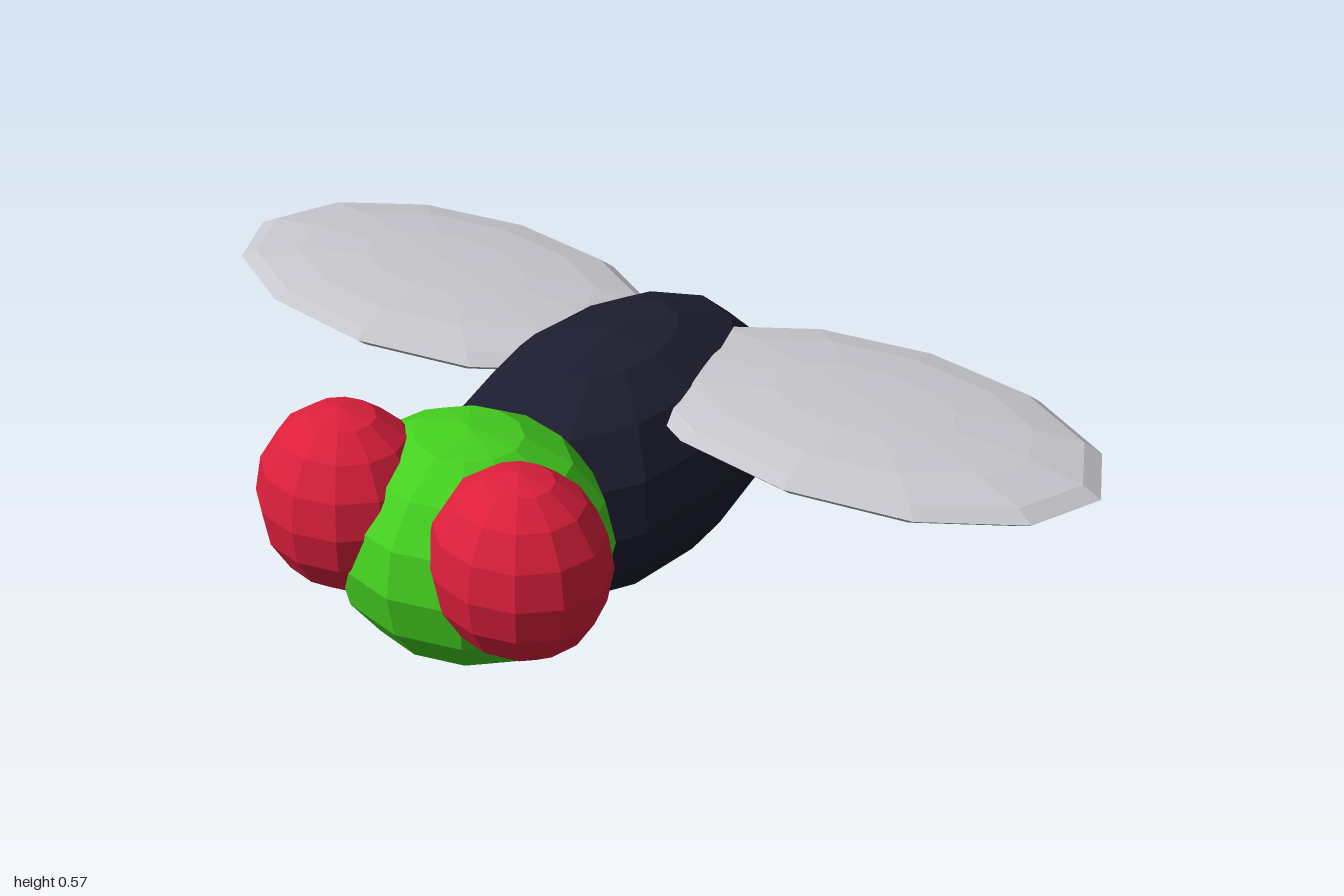
import * as THREE from 'three';

const mat = (name, color) => {
  const m = new THREE.MeshStandardMaterial({ color, flatShading: true });
  m.name = name;
  return m;
};

// Faceted ellipsoid with its radii baked into the geometry
function ellipsoid(name, material, [rx, ry, rz], [x, y, z]) {
  const geometry = new THREE.SphereGeometry(1, 12, 8).scale(rx, ry, rz);
  const mesh = new THREE.Mesh(geometry, material);
  mesh.name = name;
  mesh.position.set(x, y, z);
  return mesh;
}

export function createModel() {
  const navy = mat('darkNavy', 0x1d1d30);
  const green = mat('brightGreen', 0x45d020);
  const red = mat('crimson', 0xdc1f3c);
  const grey = mat('paleGrey', 0xc6c6cc);

  const model = new THREE.Group();
  model.name = 'fly';

  // Long abdomen and round head
  model.add(ellipsoid('body', navy, [0.28, 0.26, 0.48], [0, 0.26, -0.14]));
  model.add(ellipsoid('head', green, [0.28, 0.24, 0.26], [0, 0.3, 0.34]));

  // Mirrored eyes and flat wings
  for (const [side, s] of [['left', 1], ['right', -1]]) {
    model.add(ellipsoid(side + 'Eye', red, [0.175, 0.19, 0.16], [0.2 * s, 0.38, 0.46]));
    model.add(ellipsoid(side + 'Wing', grey, [0.5, 0.05, 0.3], [0.5 * s, 0.42, -0.26]));
  }
  return model;
}
